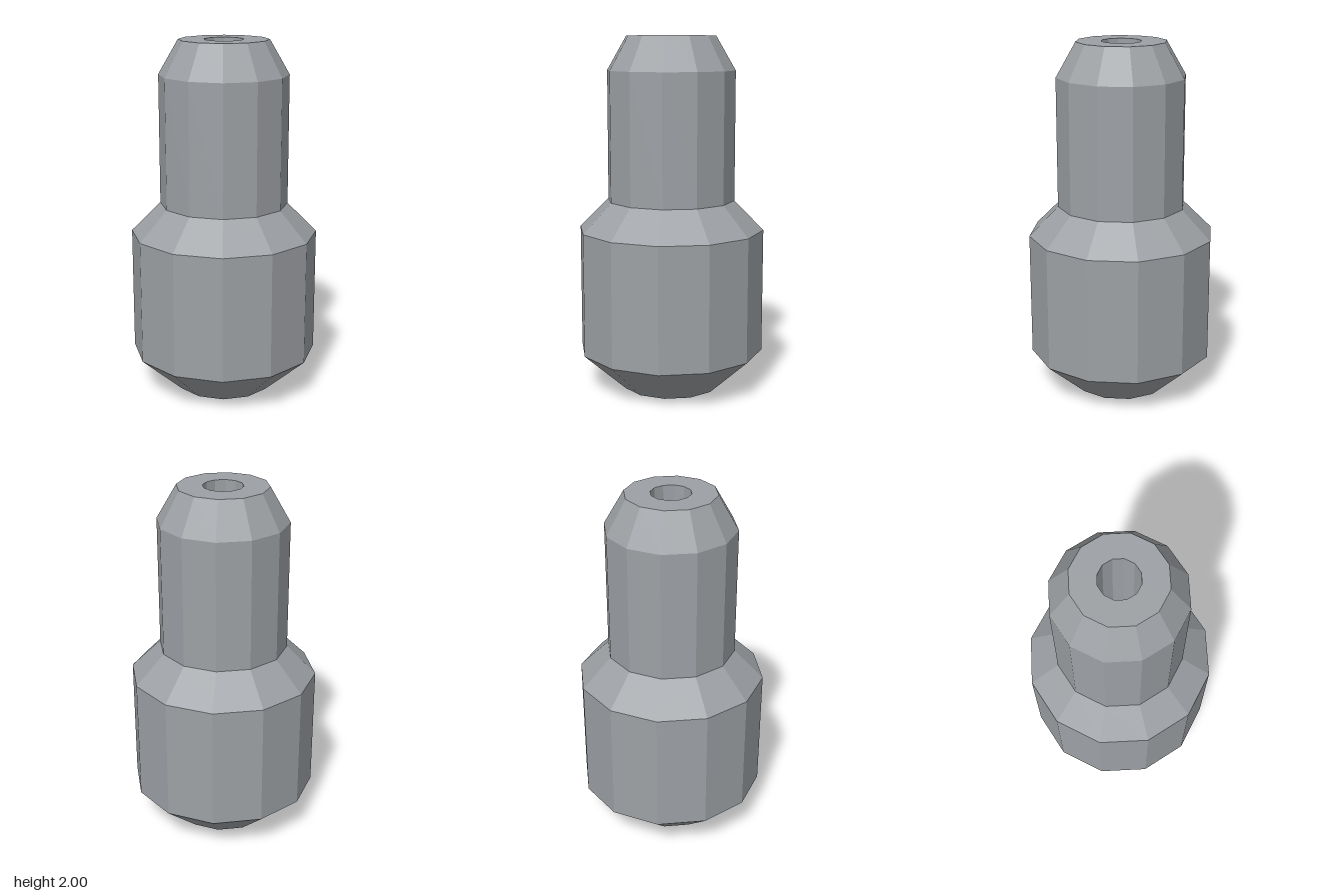
import * as THREE from 'three';

const SIDES = 12;

export function createModel() {
  const model = new THREE.Group();
  model.name = 'steppedSleeve';

  const greyMetal = new THREE.MeshStandardMaterial({ color: 0x9da1a5, flatShading: true });
  greyMetal.name = 'grey metal';

  const turned = (name, profile) => {
    const points = profile.map(([r, y]) => new THREE.Vector2(r, y));
    const mesh = new THREE.Mesh(new THREE.LatheGeometry(points, SIDES), greyMetal);
    mesh.name = name;
    model.add(mesh);
  };

  const bore = 0.11;

  // Wide lower body: flat underside, chamfer, wall and shoulder
  turned('lowerBody', [[bore, 0], [0.28, 0], [0.525, 0.22], [0.525, 0.92], [0.36, 1.085]]);

  // Narrow neck with a tapered tip and flat rim
  turned('upperNeck', [[0.36, 1.085], [0.36, 1.81], [0.25, 2], [bore, 2]]);

  // Inner wall of the through hole, facing the axis
  turned('boreWall', [[bore, 2], [bore, 0]]);

  return model;
}
